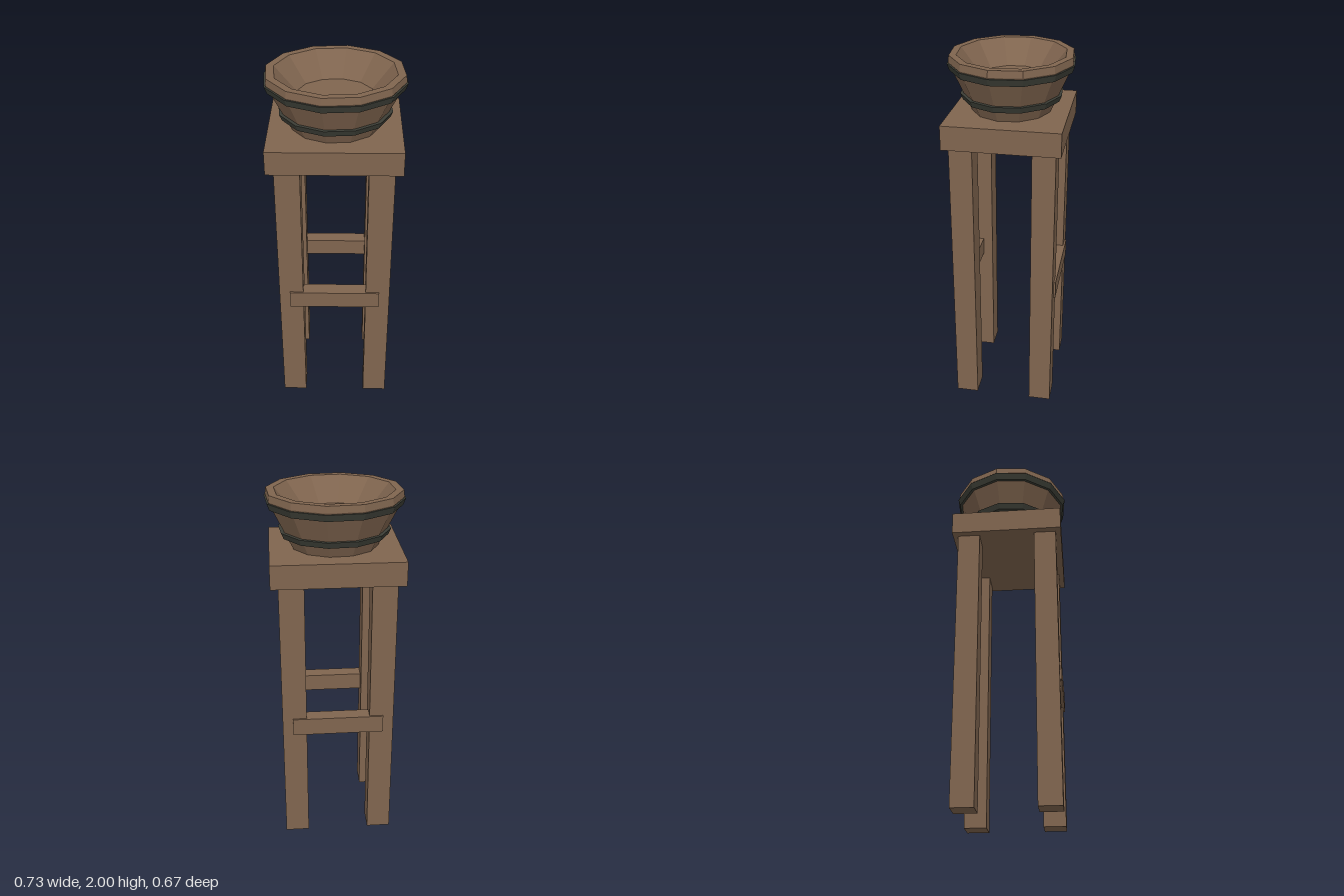
import * as THREE from 'three';

export function createModel() {
  const model = new THREE.Group();
  const wood = new THREE.MeshStandardMaterial({ color: 0x80654f, flatShading: true });
  wood.name = 'wood';
  const iron = new THREE.MeshStandardMaterial({ color: 0x3c3e36, flatShading: true });
  iron.name = 'darkIron';

  function add(name, geometry, material) {
    const mesh = new THREE.Mesh(geometry, material);
    mesh.name = name;
    model.add(mesh);
    return mesh;
  }

  // Box given by its centre and size
  function box(name, [x, y, z], size) {
    add(name, new THREE.BoxGeometry(...size), wood).position.set(x, y, z);
  }

  // Twelve-sided turned part, slightly narrower from front to back
  function turned(name, profile, material) {
    const points = profile.map(([r, y]) => new THREE.Vector2(r, y));
    const geometry = new THREE.LatheGeometry(points, 12, THREE.MathUtils.degToRad(20));
    geometry.scale(1, 1, 0.909);
    add(name, geometry, material);
  }

  // Square stand: top slab, four legs, front and back rails
  box('standTop', [0, 1.635, 0], [0.7, 0.13, 0.62]);
  for (const z of [1, -1]) {
    const end = z > 0 ? 'front' : 'back';
    for (const x of [1, -1]) {
      box(end + (x > 0 ? 'LeftLeg' : 'RightLeg'), [x * 0.243, 0.787, z * 0.218], [0.134, 1.574, 0.124]);
    }
    box(end + 'Rail', [0, 0.733, z * 0.25], [0.504, 0.1, 0.08]);
  }

  // Hollow bowl: underside, flared wall, rim, inner wall and floor
  turned('bowl', [
    [0, 1.7], [0.234, 1.7], [0.366, 1.965], [0.361, 2],
    [0.319, 2], [0.203, 1.87], [0, 1.87],
  ], wood);

  // Iron hoops around the bowl
  function hoop(name, bottom, top, rBottom, rTop) {
    turned(name, [
      [rBottom - 0.03, bottom], [rBottom, bottom], [rTop, top],
      [rTop - 0.03, top], [rBottom - 0.03, bottom],
    ], iron);
  }
  hoop('upperHoop', 1.922, 1.958, 0.36, 0.373);
  hoop('lowerHoop', 1.763, 1.796, 0.288, 0.302);

  return model;
}
